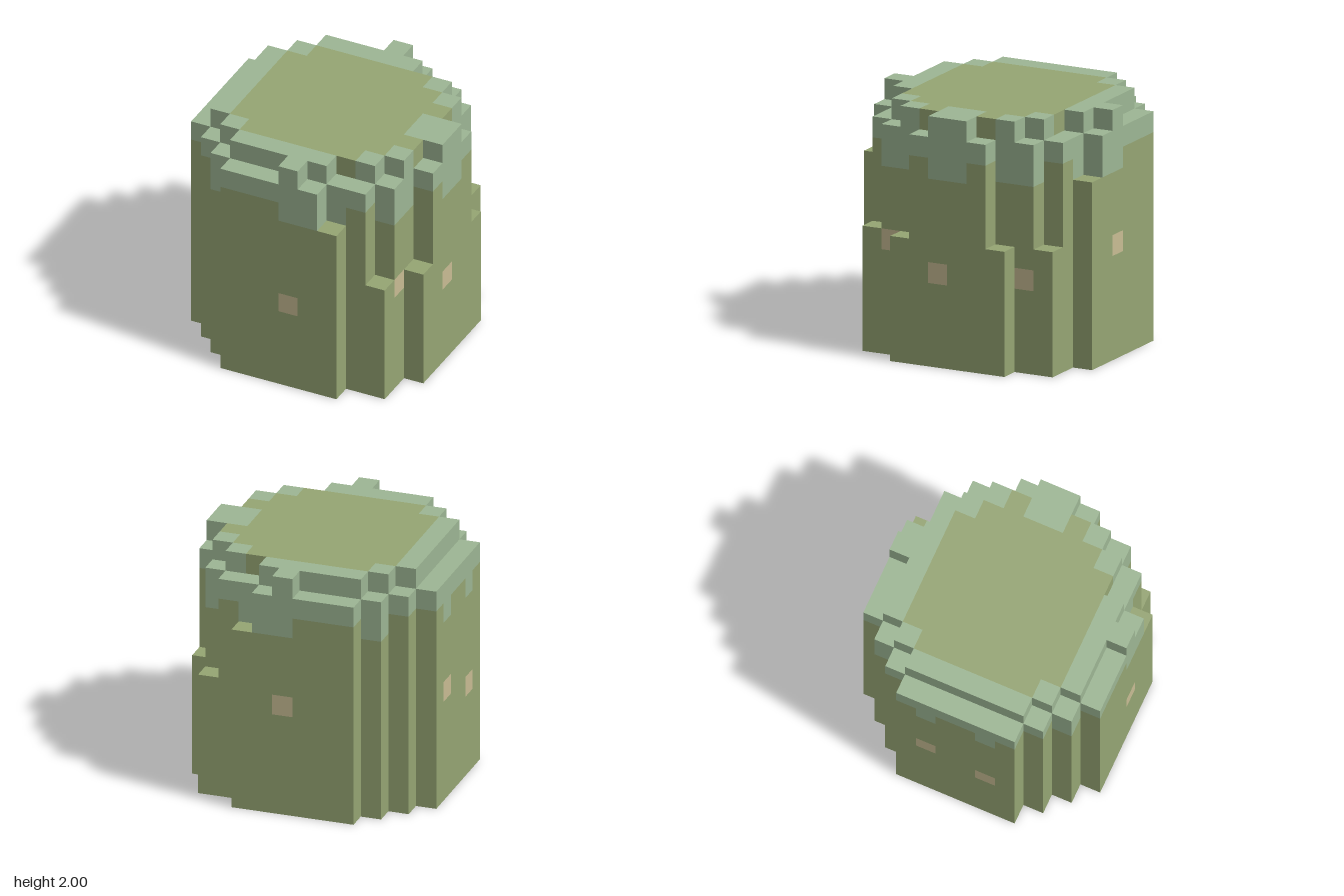
import * as THREE from 'three';
import { mergeGeometries } from 'three/addons/utils/BufferGeometryUtils.js';

const N = 12;      // cells per side
const S = 2 / N;   // cell size

// Column heights in cells (hex), one row per z from the middle to the front; the back mirrors it.
const HEIGHTS = [
  'bccccccccccc',
  'bccccccccccb',
  'bcccccccccc6',
  '.bccccccccb.',
  '..bcccccbb6.',
  '...bbbcb9...',
];

// Level above which a column is covered by moss (hex), '-' for bare.
const MOSS = [
  'aa--------99',
  '9a---------a',
  'aa--------9-',
  '.a9------99.',
  '..9999999a-.',
  '...aaa99-...',
];

// Cells (x, y, z) holding a pale knot.
const KNOTS = new Set(['6,4,11', '6,5,0', '10,5,9', '11,4,6', '10,4,2', '0,5,4', '0,4,7']);

const row = (k) => (k >= N / 2 ? k - N / 2 : N / 2 - 1 - k);

function heightAt(i, k) {
  if (i < 0 || k < 0 || i >= N || k >= N) return 0;
  return parseInt(HEIGHTS[row(k)][i], 16) || 0;
}

const solid = (i, j, k) => j >= 0 && j < heightAt(i, k);

function partAt(i, j, k) {
  if (KNOTS.has([i, j, k].join())) return 'knots';
  return j >= parseInt(MOSS[row(k)][i], 16) ? 'mossCap' : 'stump';
}

// One outward-facing square for each of the six directions.
const half = Math.PI / 2;
const SIDES = [
  [[1, 0, 0], (g) => g.rotateY(half)],
  [[-1, 0, 0], (g) => g.rotateY(-half)],
  [[0, 1, 0], (g) => g.rotateX(-half)],
  [[0, -1, 0], (g) => g.rotateX(half)],
  [[0, 0, 1], (g) => g],
  [[0, 0, -1], (g) => g.rotateY(Math.PI)],
].map(([dir, turn]) => ({
  dir,
  face: turn(new THREE.PlaneGeometry(S, S)).translate(...dir.map((d) => (d * S) / 2)),
}));

function makeMaterial(name, color) {
  const material = new THREE.MeshStandardMaterial({ color });
  material.name = name;
  return material;
}

export function createModel() {
  const materials = {
    stump: makeMaterial('olive', 0x96a674),
    mossCap: makeMaterial('sageGreen', 0x9eb795),
    knots: makeMaterial('paleTan', 0xc9bd94),
  };
  const faces = { stump: [], mossCap: [], knots: [] };

  // Collect only the exposed cell faces, sorted by part.
  for (let i = 0; i < N; i++) {
    for (let k = 0; k < N; k++) {
      for (let j = 0; j < heightAt(i, k); j++) {
        for (const { dir, face } of SIDES) {
          if (solid(i + dir[0], j + dir[1], k + dir[2])) continue;
          faces[partAt(i, j, k)].push(
            face.clone().translate((i + 0.5) * S - 1, (j + 0.5) * S, (k + 0.5) * S - 1),
          );
        }
      }
    }
  }

  const group = new THREE.Group();
  group.name = 'mossyStump';
  for (const part of Object.keys(faces)) {
    const mesh = new THREE.Mesh(mergeGeometries(faces[part]), materials[part]);
    mesh.name = part;
    group.add(mesh);
  }
  return group;
}
